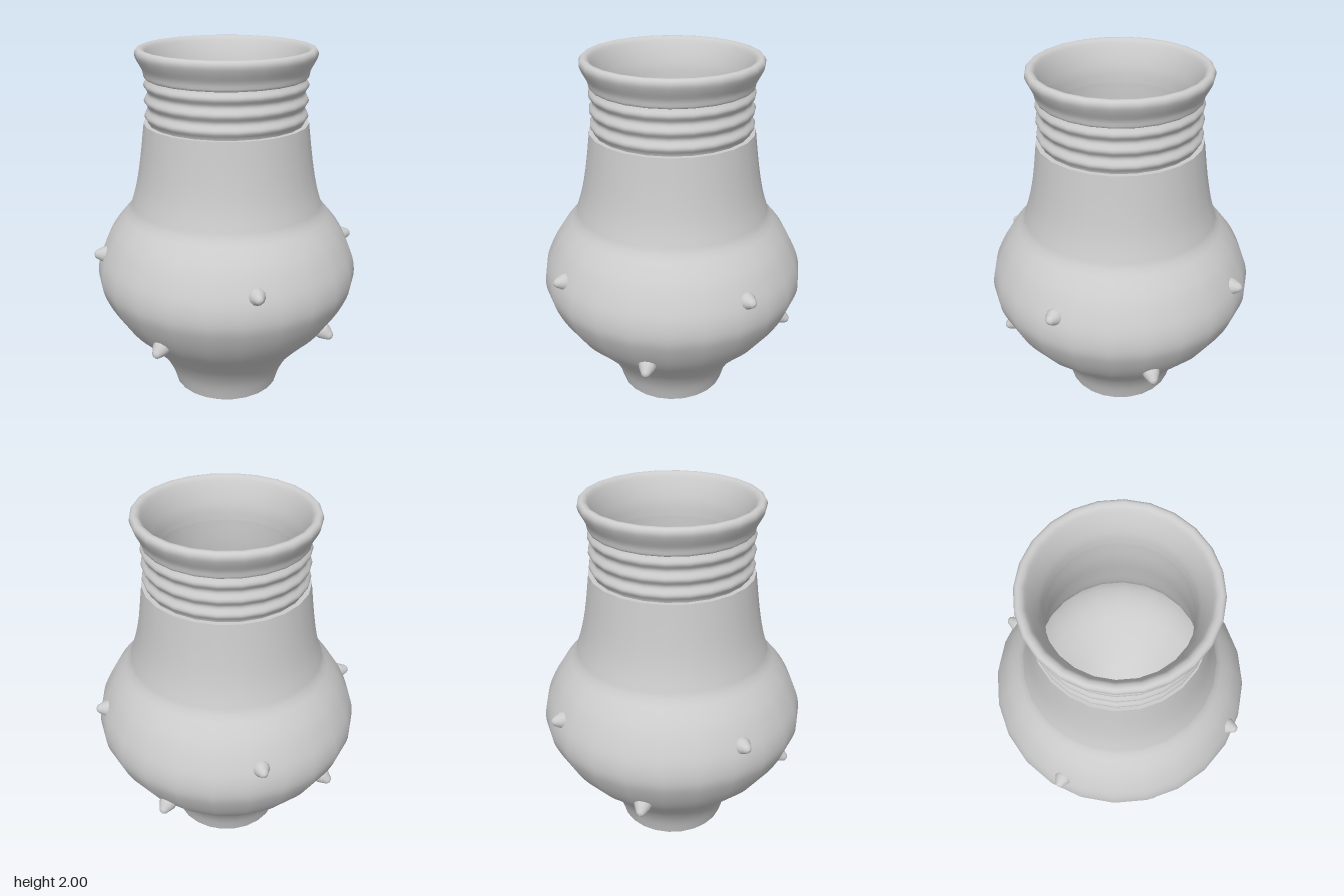
import * as THREE from 'three';

const SIDES = 24;
const material = new THREE.MeshStandardMaterial({ color: 0xcccccc });

// Smooth curve through [radius, height] pairs
function smooth(pairs, divisions) {
  return new THREE.SplineCurve(pairs.map(([r, y]) => new THREE.Vector2(r, y))).getPoints(divisions);
}

function turned(name, points) {
  const mesh = new THREE.Mesh(new THREE.LatheGeometry(points, SIDES), material);
  mesh.name = name;
  return mesh;
}

// Rounded stud, pointing along +y, with its root sunk below y = 0
const studGeometry = new THREE.LatheGeometry(smooth([
  [0.046, -0.05], [0.049, -0.015], [0.045, 0.01], [0.031, 0.036], [0.019, 0.056], [0, 0.064],
], 12).map(p => new THREE.Vector2(Math.max(p.x, 0), p.y)), 12);

// Four studs around the body; tilt is the upward part of the direction
function studRing(name, angle, radius, height, tilt) {
  const ring = new THREE.Group();
  ring.name = name;
  for (let i = 0; i < 4; i++) {
    const a = angle + i * Math.PI / 2;
    const stud = new THREE.Mesh(studGeometry, material);
    stud.name = 'stud';
    stud.position.set(Math.cos(a) * radius, height, Math.sin(a) * radius);
    const dir = new THREE.Vector3(Math.cos(a), tilt, Math.sin(a)).normalize();
    stud.quaternion.setFromUnitVectors(new THREE.Vector3(0, 1, 0), dir);
    ring.add(stud);
  }
  return ring;
}

export function createModel() {
  const vase = new THREE.Group();
  vase.name = 'vase';

  // Foot, belly and tapering neck
  const belly = smooth([
    [0.31, 0], [0.345, 0.11], [0.41, 0.22], [0.5, 0.325], [0.6, 0.43], [0.67, 0.53],
    [0.72, 0.63], [0.743, 0.71], [0.737, 0.8], [0.705, 0.89], [0.645, 1.0], [0.55, 1.115],
  ], 33);
  const neck = smooth([[0.55, 1.115], [0.51, 1.24], [0.48, 1.395], [0.453, 1.6]], 9);
  vase.add(turned('body', [...belly, ...neck.slice(1)]));

  // Ledge and three ribs around the throat
  const ribs = [];
  for (let i = 0; i <= 24; i++) {
    const t = i / 24;
    ribs.push(new THREE.Vector2(0.437 - 0.01 * Math.cos(t * 6 * Math.PI), 1.6 + 0.25 * t));
  }
  vase.add(turned('throatLedge', [new THREE.Vector2(0.453, 1.6), new THREE.Vector2(0.427, 1.6)]));
  vase.add(turned('throatRibs', ribs));

  // Flared collar rolling over into the mouth
  vase.add(turned('rim', smooth([
    [0.425, 1.845], [0.442, 1.848], [0.45, 1.885], [0.474, 1.93], [0.488, 1.965], [0.485, 1.988],
    [0.47, 2.0], [0.447, 1.995], [0.428, 1.97], [0.4, 1.91], [0.378, 1.84], [0.371, 1.77],
  ], 33)));

  // Hollow inside
  vase.add(turned('inside', smooth([
    [0.371, 1.77], [0.375, 1.6], [0.41, 1.395], [0.47, 1.13], [0.58, 0.97], [0.66, 0.75],
    [0.6, 0.53], [0.43, 0.33], [0.28, 0.19], [0.14, 0.12], [0, 0.1],
  ], 30)));

  // Flat underside
  const underside = new THREE.Mesh(new THREE.CircleGeometry(0.31, SIDES), material);
  underside.name = 'underside';
  underside.rotation.x = Math.PI / 2;
  vase.add(underside);

  // Two staggered rows of studs
  vase.add(studRing('upperStuds', 0.43, 0.7, 0.865, 0.12));
  vase.add(studRing('lowerStuds', -0.345, 0.645, 0.485, -0.5));
  return vase;
}
